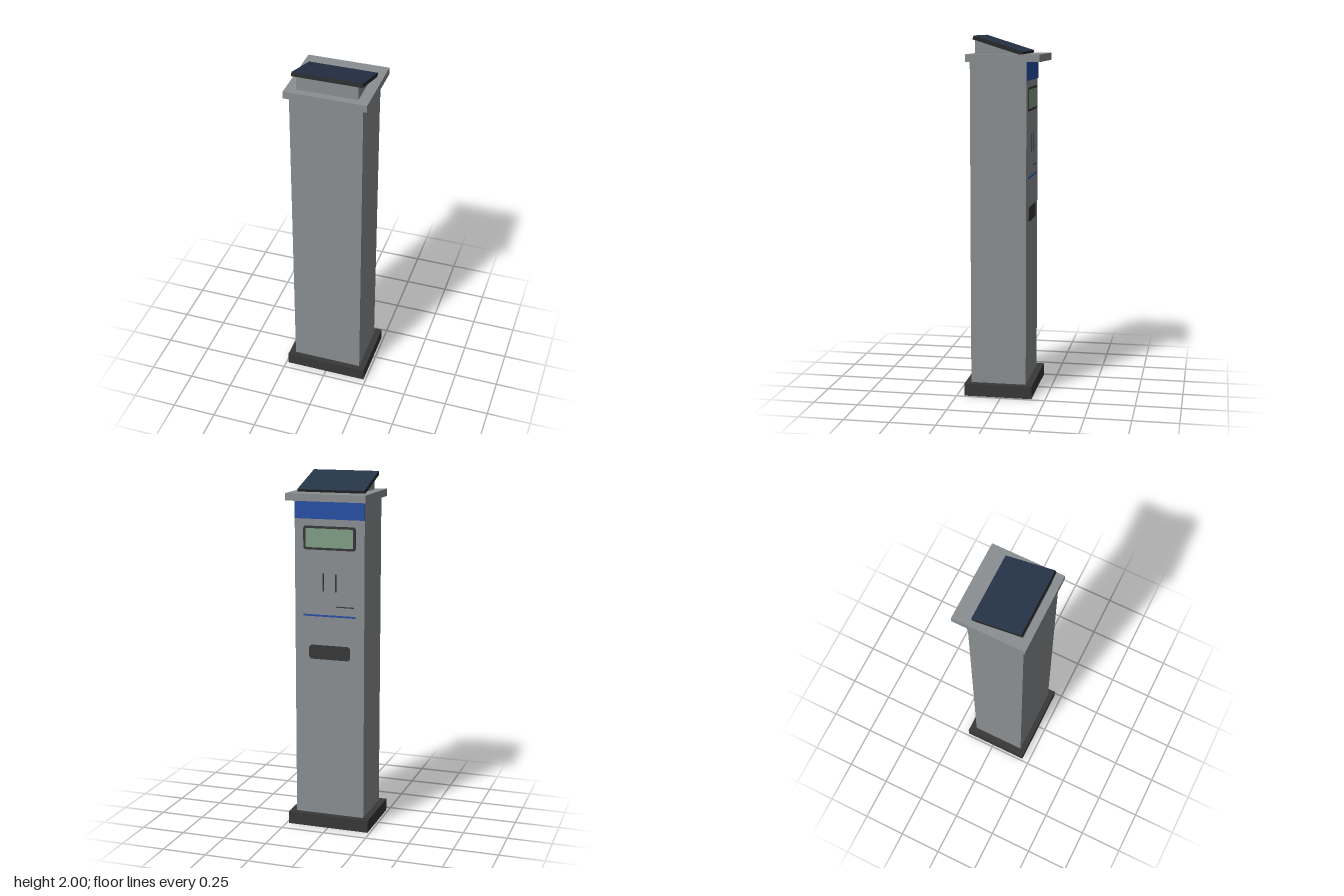
import * as THREE from 'three';

const mat = (name, color) => {
  const m = new THREE.MeshStandardMaterial({ color });
  m.name = name;
  return m;
};

export function createModel() {
  const root = new THREE.Group();
  root.name = 'ticketMachine';

  const grey = mat('bodyGrey', 0x8b8f91);
  const dark = mat('darkPlastic', 0x383838);
  const edge = mat('panelEdgeBlack', 0x282a2b);
  const navy = mat('solarNavy', 0x263448);
  const blue = mat('signBlue', 0x2850a6);
  const green = mat('displayGreen', 0x7f9e86);

  const add = (name, geometry, material, parent = root) => {
    const mesh = new THREE.Mesh(geometry, material);
    mesh.name = name;
    parent.add(mesh);
    return mesh;
  };

  // Box given by its limits on each axis
  const block = (name, material, x, [y0, y1], [z0, z1]) => {
    const mesh = add(name, new THREE.BoxGeometry(2 * x, y1 - y0, z1 - z0), material);
    mesh.position.set(0, (y0 + y1) / 2, (z0 + z1) / 2);
    return mesh;
  };

  // Main column
  block('base', dark, 0.237, [0, 0.07], [-0.173, 0.207]);
  block('column', grey, 0.2, [0.07, 1.86], [-0.135, 0.175]);
  block('cap', grey, 0.226, [1.86, 1.9], [-0.21, 0.195]);

  // Wedge that carries the solar panel: side profile extruded across x
  const tilt = THREE.MathUtils.degToRad(17.5);
  const wedgeProfile = new THREE.Shape([
    new THREE.Vector2(-0.153, 1.895),
    new THREE.Vector2(0.09, 1.895),
    new THREE.Vector2(0.09, 1.903),
    new THREE.Vector2(-0.153, 1.979),
  ]);
  const wedgeGeometry = new THREE.ExtrudeGeometry(wedgeProfile, { depth: 0.334, bevelEnabled: false });
  wedgeGeometry.translate(0, 0, -0.167).rotateY(Math.PI / 2);
  add('panelWedge', wedgeGeometry, grey);

  // Solar panel, navy on its upper face only, hung from its top front edge
  const panelGeometry = new THREE.BoxGeometry(0.38, 0.022, 0.285);
  panelGeometry.translate(0, -0.011, -0.1425);
  const panel = add('solarPanel', panelGeometry, [edge, edge, navy, edge, edge, edge]);
  panel.position.set(0, 2, 0.155);
  panel.rotation.x = -tilt;

  // Thin plates on the service face, which looks towards -z
  const service = new THREE.Group();
  service.name = 'serviceFace';
  service.position.z = -0.135;
  root.add(service);

  const plate = (name, material, [x0, x1], [y0, y1], radius = 0, height = 0.003) => {
    const s = new THREE.Shape();
    if (radius) {
      s.absarc(x1 - radius, y1 - radius, radius, 0, Math.PI / 2);
      s.absarc(x0 + radius, y1 - radius, radius, Math.PI / 2, Math.PI);
      s.absarc(x0 + radius, y0 + radius, radius, Math.PI, Math.PI * 1.5);
      s.absarc(x1 - radius, y0 + radius, radius, Math.PI * 1.5, Math.PI * 2);
    } else {
      s.moveTo(x0, y0).lineTo(x1, y0).lineTo(x1, y1).lineTo(x0, y1).closePath();
    }
    const g = new THREE.ExtrudeGeometry(s, { depth: height + 0.002, bevelEnabled: false, curveSegments: 6 });
    g.translate(0, 0, -height);
    return add(name, g, material, service);
  };

  plate('headerBand', blue, [-0.2, 0.2], [1.758, 1.858]);
  plate('displayFrame', dark, [-0.15, 0.15], [1.59, 1.72], 0.015);
  plate('displayScreen', green, [-0.136, 0.136], [1.603, 1.707], 0.008, 0.005);
  plate('startButton', green, [0.088, 0.112], [1.525, 1.549], 0.0119, 0.001);
  for (const x of [-0.035, 0.037]) {
    plate('coinSlot', dark, [x - 0.004, x + 0.004], [1.36, 1.46], 0, 0.001);
  }
  plate('cardSlot', dark, [-0.14, -0.04], [1.275, 1.281], 0, 0.001);
  plate('trimLine', blue, [-0.15, 0.15], [1.22, 1.23]);
  plate('ticketTray', dark, [-0.12, 0.12], [0.978, 1.058], 0.02);

  return root;
}
